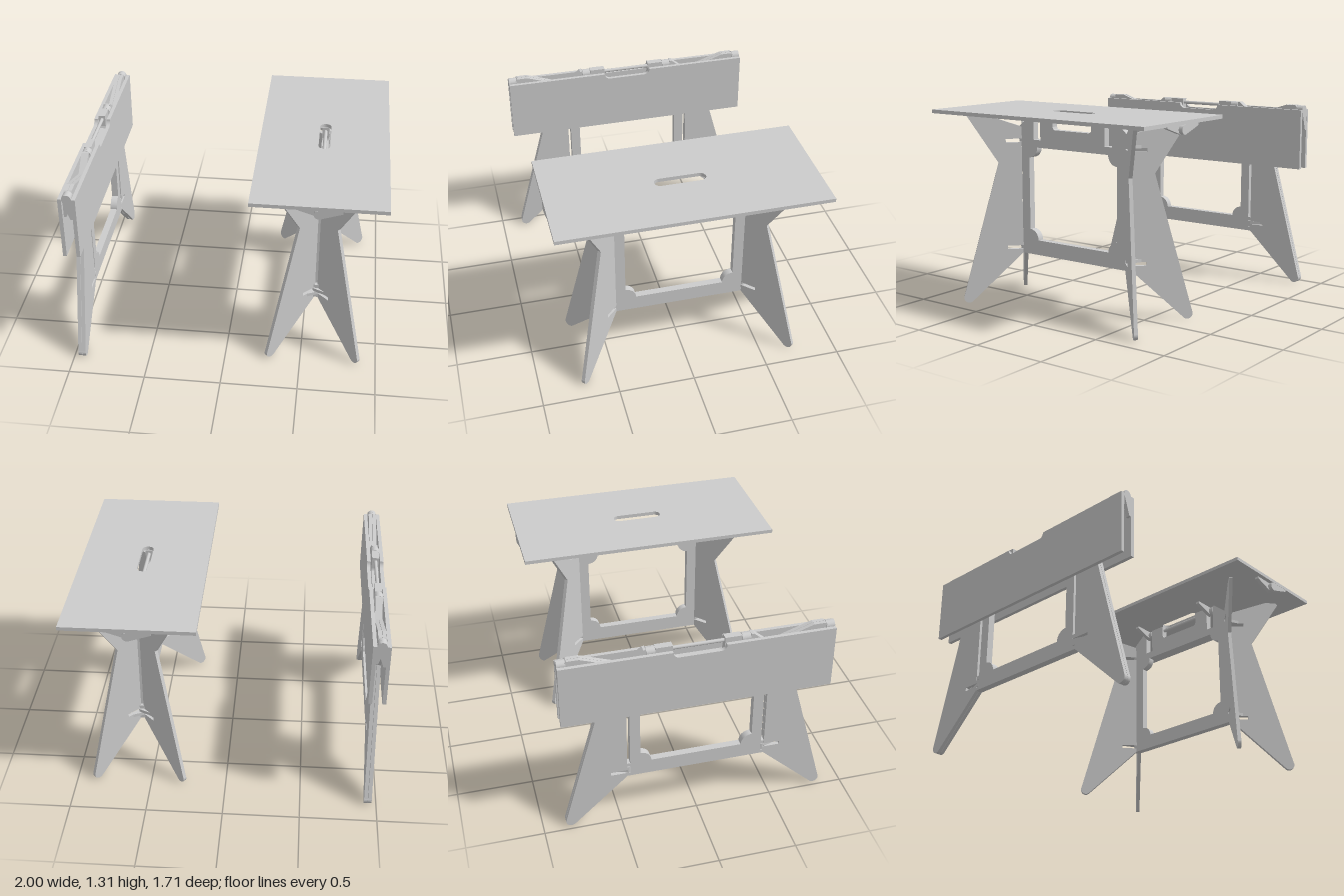
import * as THREE from 'three';

const material = new THREE.MeshStandardMaterial({ color: 0xcccccc, side: THREE.DoubleSide });
const PIVOT_Y = 1.255;        // height of the tabletop hinge axis
const LEG_HINGES = [0.385, 1.11];
const LEG_AXIS_Z = 0.44;

function part(name, geometry) {
  const mesh = new THREE.Mesh(geometry, material);
  mesh.name = name;
  return mesh;
}

function plate(shape, depth, z = 0) {
  const g = new THREE.ExtrudeGeometry(shape, { depth, bevelEnabled: false, curveSegments: 10 });
  return g.translate(0, 0, z);
}

const polygon = (pts) => new THREE.Shape(pts.map(([x, y]) => new THREE.Vector2(x, y)));

// Wedge-shaped hinge arm: pivot at the origin, flat mounting side at y = 0.031
function hingeArm() {
  const s = new THREE.Shape();
  s.moveTo(0, 0.031);
  s.lineTo(0.145, 0.031);
  s.lineTo(0.145, 0.016);
  s.lineTo(0.012, -0.028);
  s.absarc(0, 0, 0.03, -1.17, -Math.PI * 1.5, true);
  return plate(s, 0.027);
}

// Flat frame with a large opening, hinge slots and a hand recess
function frame() {
  const half = [
    [0.14, 1.185], [0.155, 1.191], [0.16, 1.205], [0.16, 1.283],
    [0.266, 1.283], [0.266, 1.11], [0.324, 1.11], [0.324, 1.283], [0.34, 1.283],
    [0.455, 1.187], [0.455, 1.135], [0.43, 1.135], [0.43, 1.085], [0.455, 1.085],
    [0.455, 1.06], [0.43, 1.06], [0.43, 0.435], [0.455, 0.435], [0.455, 0.41],
    [0.43, 0.41], [0.43, 0.36], [0.455, 0.36], [0.455, 0.335],
  ];
  const shape = polygon([...half, ...half.map(([x, y]) => [-x, y]).reverse()]);
  // The opening keeps a quarter disc of material in each corner
  const hole = new THREE.Path();
  hole.moveTo(-0.294, 0.435);
  [[0.364, 0.435], [0.364, 1.06], [-0.364, 1.06], [-0.364, 0.435]].forEach(([x, y], i) => {
    const a = Math.PI * (1 + i / 2);
    hole.absarc(x, y, 0.07, a, a - Math.PI / 2, true);
  });
  shape.holes.push(hole);
  const mesh = part('frame', plate(shape, 0.046, -0.023));
  mesh.rotation.y = Math.PI / 2;
  return mesh;
}

// Leg blade in its own plane: x runs outwards from the hinge axis
function legBlade(side) {
  const s = new THREE.Shape();
  s.moveTo(0.165, 0.55);
  s.absarc(0.38, 0.035, 0.035, 0.44, -2.33, true);
  s.lineTo(0.01, 0.335);
  // Slots that receive the arms of the opposite leg
  for (const y of LEG_HINGES) {
    const y0 = side > 0 ? y : y - 0.024;
    s.lineTo(0.01, y0);
    s.lineTo(0.115, y0);
    s.lineTo(0.115, y0 + 0.024);
    s.lineTo(0.01, y0 + 0.024);
  }
  s.lineTo(0.01, 1.19);
  s.lineTo(0.28, 1.285);
  s.lineTo(0.355, 1.285);
  s.lineTo(0.37, 1.27);
  s.lineTo(0.165, 0.95);
  return plate(s, 0.024, side > 0 ? 0.001 : -0.025);
}

function leg(side, angle) {
  const g = new THREE.Group();
  g.name = 'leg';
  g.add(part('legBlade', legBlade(side)));
  for (const y of LEG_HINGES) {
    const arm = part('legHingeArm', hingeArm());
    arm.scale.set(0.78, 0.8, 0.8);
    arm.rotation.x = side * Math.PI / 2;
    arm.position.y = y;
    g.add(arm);
  }
  g.position.z = LEG_AXIS_Z;
  g.rotation.y = -Math.PI / 2 - side * angle;
  return g;
}

// Half of the tabletop with half of the hand slot and its hinge arms
function topLeaf(folded) {
  const g = new THREE.Group();
  g.name = 'tabletopLeaf';
  const s = polygon([[0, -0.855], [0.42, -0.855], [0.42, 0.855], [0, 0.855], [0, 0.165]]);
  s.absarc(0, 0.127, 0.038, Math.PI / 2, 0, true);
  s.absarc(0, -0.127, 0.038, 0, -Math.PI / 2, true);
  const panel = part('tabletopPanel', plate(s, 0.024));
  panel.rotation.x = -Math.PI / 2;
  panel.position.y = 0.031;
  g.add(panel);
  for (const z of [-0.827, -0.295, 0.295, 0.827]) {
    const arm = part('tabletopHingeArm', hingeArm());
    arm.position.z = z;
    g.add(arm);
  }
  g.rotation.z = folded ? -Math.PI / 2 : 0;
  return g;
}

function table(folded) {
  const g = new THREE.Group();
  g.name = folded ? 'foldedTable' : 'openTable';
  g.add(frame());

  const rod = part('tabletopHingeRod', new THREE.CylinderGeometry(0.012, 0.012, 0.68, 16));
  rod.rotation.x = Math.PI / 2;
  rod.position.y = PIVOT_Y;
  g.add(rod);

  for (const turn of [0, Math.PI]) {
    // Tabletop half on this side
    const leafSide = new THREE.Group();
    leafSide.name = 'tabletopSide';
    leafSide.position.y = PIVOT_Y;
    leafSide.rotation.y = turn;
    leafSide.add(topLeaf(folded));
    g.add(leafSide);

    // Pair of legs at this end
    const end = new THREE.Group();
    end.name = 'legPair';
    end.rotation.y = turn;
    for (const side of [-1, 1]) end.add(leg(side, folded ? 0 : THREE.MathUtils.degToRad(46)));
    for (const y of LEG_HINGES) {
      const pin = part('legHingePin', new THREE.CylinderGeometry(0.01, 0.01, 0.1, 12));
      pin.position.set(0, y, LEG_AXIS_Z);
      end.add(pin);
    }
    g.add(end);
  }
  return g;
}

export function createModel() {
  const model = new THREE.Group();
  model.name = 'foldingTables';
  const open = table(false);
  open.position.x = 0.58;
  const folded = table(true);
  folded.position.x = -0.945;
  model.add(open, folded);
  return model;
}
